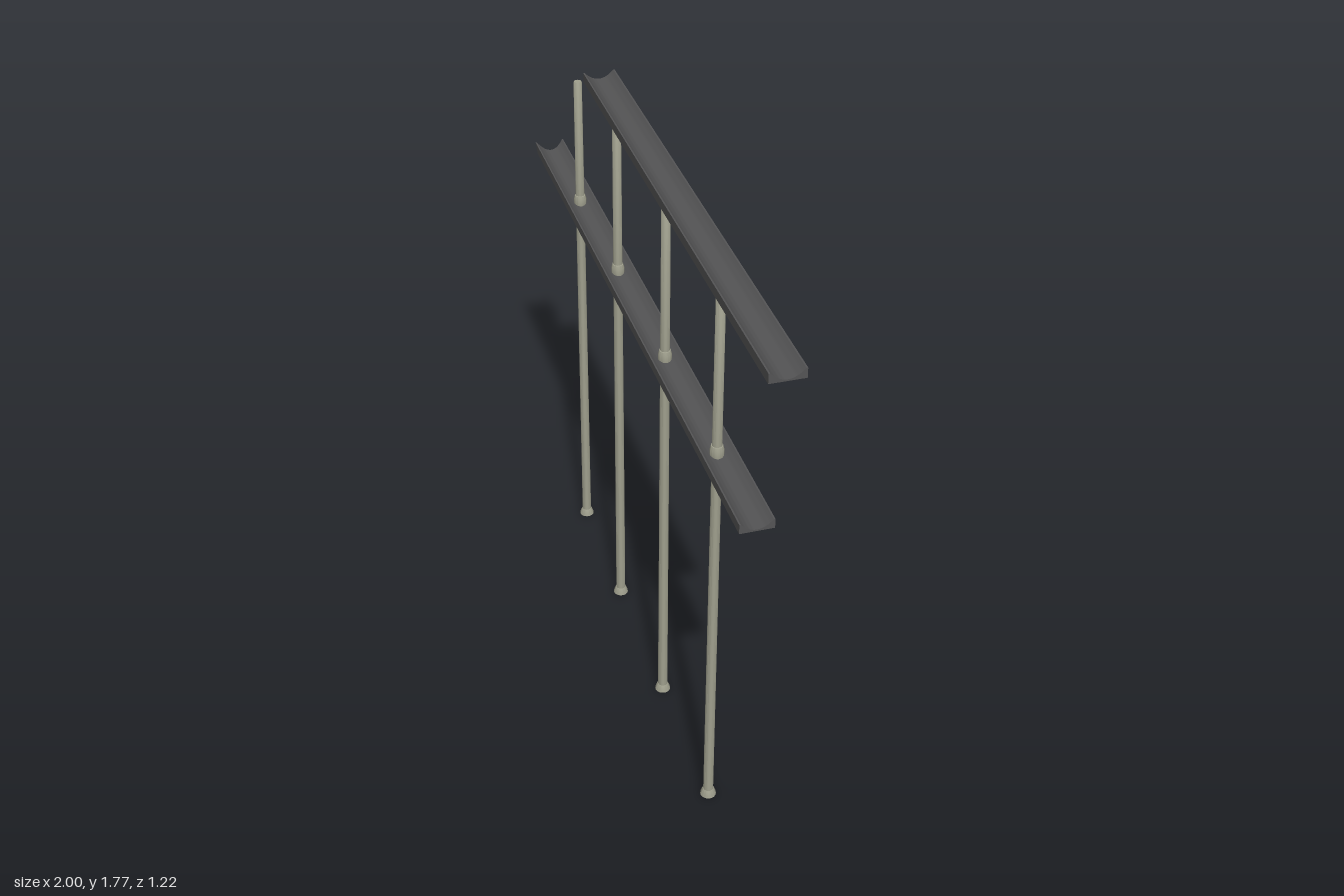
import * as THREE from 'three';
import { toCreasedNormals } from 'three/addons/utils/BufferGeometryUtils.js';

const ANGLE = THREE.MathUtils.degToRad(30.3); // heading of the whole row, from +x toward +z
const SLOPE = Math.tan(ANGLE);
const HALF = 0.046;  // half width of a gutter
const HEIGHT = 0.027;

export function createModel() {
  const model = new THREE.Group();
  const metal = new THREE.MeshStandardMaterial({ color: 0x555556 });
  metal.name = 'darkMetal';
  const wood = new THREE.MeshStandardMaterial({ color: 0xa0a08e });
  wood.name = 'paleBamboo';

  // Shallow gutter from x0 to x1, its rims overhanging the start by "overhang"
  function gutter(name, x0, x1, y, overhang) {
    const shape = new THREE.Shape();
    shape.moveTo(-HALF, 0);
    shape.lineTo(HALF, 0);
    shape.lineTo(HALF, HEIGHT);
    shape.lineTo(HALF - 0.004, HEIGHT);
    shape.quadraticCurveTo(0, -0.018, -HALF + 0.004, HEIGHT);
    shape.lineTo(-HALF, HEIGHT);
    shape.closePath();
    const geo = new THREE.ExtrudeGeometry(shape, {
      depth: (x1 - x0) / Math.cos(ANGLE), bevelEnabled: false, curveSegments: 14,
    });
    const pos = geo.attributes.position;
    for (let i = 0; i < pos.count; i++) {
      if (pos.getZ(i) < 1e-4) pos.setZ(i, -overhang * pos.getY(i) / HEIGHT);
    }
    const mesh = new THREE.Mesh(toCreasedNormals(geo, 0.5), metal);
    mesh.name = name;
    mesh.position.set(x0, y, x0 * SLOPE);
    mesh.rotation.y = Math.PI / 2 - ANGLE;
    model.add(mesh);
  }
  gutter('lowerGutter', -0.955, 0.842, 1.207, 0.024);
  gutter('upperGutter', -0.41, 0.976, 1.743, 0);

  // Turned piece from [radius, height] pairs
  function turned(name, points, parent) {
    const geo = new THREE.LatheGeometry(points.map(p => new THREE.Vector2(...p)), 16);
    const mesh = new THREE.Mesh(toCreasedNormals(geo, 0.6), wood);
    mesh.name = name;
    parent.add(mesh);
  }

  // Posts with a flared foot and collars where they meet the gutters
  [-0.63, -0.25, 0.167, 0.567].forEach((x, i) => {
    const post = new THREE.Group();
    post.name = 'post' + (i + 1);
    post.position.set(x, 0, x * SLOPE);
    const top = i === 0 ? 1.625 : 1.745;
    turned('pole', [[0, 0.01], [0.0145, 0.01], [0.0135, 1.21], [0.0125, top - 0.003],
      [0.011, top], [0, top]], post);
    turned('foot', [[0, 0], [0.023, 0], [0.022, 0.008], [0.016, 0.022], [0.0145, 0.022]], post);
    turned('lowerCollar', [[0.013, 1.194], [0.016, 1.196], [0.019, 1.209], [0.019, 1.232],
      [0.016, 1.243], [0.012, 1.244]], post);
    if (i > 0) turned('upperCollar', [[0.012, 1.726], [0.015, 1.728], [0.018, 1.744]], post);
    model.add(post);
  });
  return model;
}
